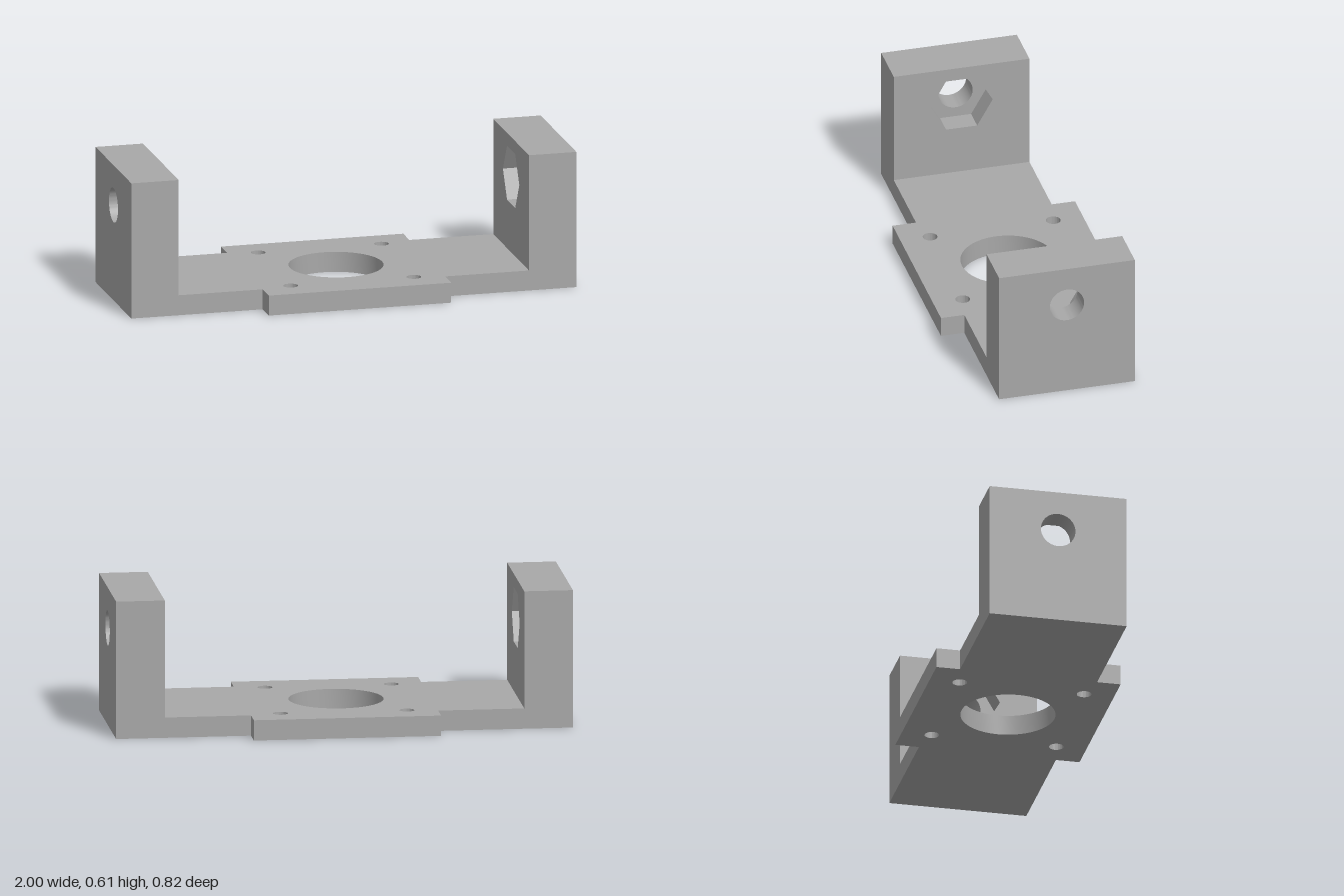
import * as THREE from 'three';
import { toCreasedNormals } from 'three/addons/utils/BufferGeometryUtils.js';

const grey = new THREE.MeshStandardMaterial({ color: 0xa8a8a8 });
grey.name = 'grey';

const polygon = (points) => points.map(([x, y]) => new THREE.Vector2(x, y));

function circleHole(x, y, r) {
  const path = new THREE.Path();
  path.absarc(x, y, r, 0, Math.PI * 2, true);
  return path;
}

function extrude(points, holes, depth) {
  const shape = new THREE.Shape(polygon(points));
  shape.holes.push(...holes);
  const geometry = new THREE.ExtrudeGeometry(shape, { depth, bevelEnabled: false, curveSegments: 32 });
  return toCreasedNormals(geometry, 0.5);
}

function part(name, geometry) {
  const mesh = new THREE.Mesh(geometry, grey);
  mesh.name = name;
  return mesh;
}

export function createModel() {
  const model = new THREE.Group();
  model.name = 'bracket';

  const halfDepth = 0.305, height = 0.61, inner = 0.787, pocketEnd = 0.89;
  const wing = 0.41, thickness = 0.09;

  // Base plate: wider in the middle, with a large bore and four screw holes
  const quarter = [[inner, halfDepth], [wing, halfDepth], [wing, wing]];
  const flip = (sx, sy) => quarter.map(([x, y]) => [x * sx, y * sy]);
  const outline = [
    ...flip(1, 1), ...flip(-1, 1).reverse(),
    ...flip(-1, -1), ...flip(1, -1).reverse(),
  ];
  const plateHoles = [circleHole(0, 0, 0.207)];
  for (const x of [-0.277, 0.277]) {
    for (const z of [-0.277, 0.277]) plateHoles.push(circleHole(x, z, 0.032));
  }
  model.add(part('basePlate', extrude(outline, plateHoles, thickness).rotateX(-Math.PI / 2)));

  // End walls: round shaft hole outside, hexagonal nut pocket inside
  const wall = [[-halfDepth, 0], [halfDepth, 0], [halfDepth, height], [-halfDepth, height]];
  const holeY = 0.43;
  const hexagon = [];
  for (let i = 0; i < 6; i++) {
    const a = -i * Math.PI / 3;
    hexagon.push([0.14 * Math.cos(a), holeY + 0.14 * Math.sin(a)]);
  }
  const outerLayer = extrude(wall, [circleHole(0, holeY, 0.077)], 1 - pocketEnd)
    .rotateY(Math.PI / 2).translate(pocketEnd, 0, 0);
  const innerLayer = extrude(wall, [new THREE.Path(polygon(hexagon))], pocketEnd - inner)
    .rotateY(Math.PI / 2).translate(inner, 0, 0);

  for (const [name, turn] of [['leftWall', 0], ['rightWall', Math.PI]]) {
    const group = new THREE.Group();
    group.name = name;
    group.add(part('shaftHoleLayer', outerLayer), part('nutPocketLayer', innerLayer));
    group.rotation.y = turn;
    model.add(group);
  }
  return model;
}
